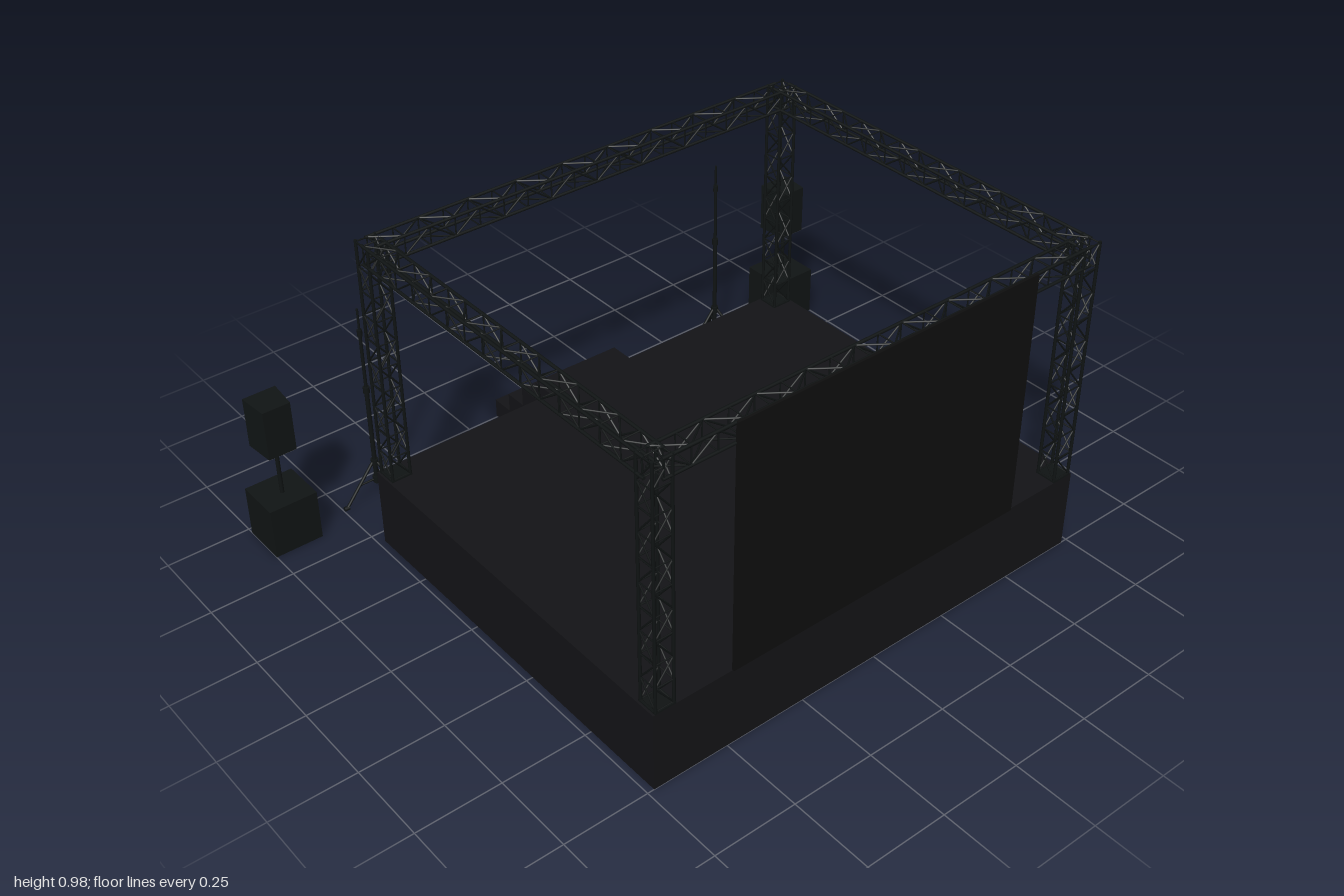
import * as THREE from 'three';
import { mergeGeometries } from 'three/addons/utils/BufferGeometryUtils.js';

const mat = (color) => new THREE.MeshStandardMaterial({ color });
const deckMat = mat(0x131316);
const metalMat = mat(0x0f1313);
const screenMat = mat(0x0e0e0e);
const speakerMat = mat(0x101414);
const V = (x, y, z) => new THREE.Vector3(x, y, z);

function add(parent, name, geo, material, x = 0, y = 0, z = 0) {
  const m = new THREE.Mesh(geo, material);
  m.name = name;
  m.position.set(x, y, z);
  parent.add(m);
  return m;
}

// box given by its limits
function block(parent, name, material, x0, x1, y0, y1, z0, z1) {
  return add(parent, name, new THREE.BoxGeometry(x1 - x0, y1 - y0, z1 - z0), material,
    (x0 + x1) / 2, (y0 + y1) / 2, (z0 + z1) / 2);
}

// round bar between two points
function bar(a, b, r, sides = 6) {
  const d = b.clone().sub(a);
  const g = new THREE.CylinderGeometry(r, r, d.length(), sides);
  g.applyQuaternion(new THREE.Quaternion().setFromUnitVectors(V(0, 1, 0), d.normalize()));
  const c = a.clone().add(b).multiplyScalar(0.5);
  return g.translate(c.x, c.y, c.z);
}

// square lattice truss along +y: four chords, rungs and zigzag braces
function trussGeometry(length, bays, crossed) {
  const h = 0.028, parts = [];
  const corners = [[-h, -h], [h, -h], [h, h], [-h, h]];
  const step = (length - 0.01) / bays;
  for (let f = 0; f < 4; f++) {
    const [ax, az] = corners[f], [bx, bz] = corners[(f + 1) % 4];
    parts.push(bar(V(ax, 0, az), V(ax, length, az), 0.0045, 8));
    for (let i = 0; i <= bays; i++) {
      const y = 0.005 + i * step;
      parts.push(bar(V(ax, y, az), V(bx, y, bz), 0.0022, 5));
      if (i === bays) break;
      // the winding of opposite faces already mirrors the zigzag
      const flip = (i + (crossed || f < 2 ? 0 : 1)) % 2;
      parts.push(bar(V(ax, y + (flip ? step : 0), az), V(bx, y + (flip ? 0 : step), bz), 0.0025, 5));
    }
  }
  return mergeGeometries(parts);
}

export function createModel() {
  const model = new THREE.Group();

  // Stage platform
  block(model, 'stagePlatform', deckMat, -0.73, 0.73, 0, 0.243, -0.46, 0.75);

  // Steps behind the platform
  const steps = new THREE.Group();
  steps.name = 'steps';
  model.add(steps);
  for (let i = 0; i < 4; i++) {
    const z1 = -0.46 - i * 0.074;
    block(steps, 'step', deckMat, -0.145, 0.145, 0, 0.243 - i * 0.061, z1 - 0.074, z1);
  }

  // Truss towers and roof beams
  const truss = new THREE.Group();
  truss.name = 'trussFrame';
  model.add(truss);
  const tx = 0.692, zFront = 0.718, zBack = -0.423, yBeam = 0.948;
  const tower = trussGeometry(0.737, 10, true);
  const crossBeam = trussGeometry(tx * 2, 18, false).rotateZ(-Math.PI / 2);
  const sideBeam = trussGeometry(zFront - zBack, 15, true).rotateX(Math.PI / 2);
  for (const z of [zFront, zBack]) {
    add(truss, 'crossBeam', crossBeam, metalMat, -tx, yBeam, z);
    for (const s of [-1, 1]) {
      add(truss, 'tower', tower, metalMat, s * tx, 0.243, z);
      block(truss, 'towerFoot', metalMat, s * tx - 0.032, s * tx + 0.032, 0.243, 0.248, z - 0.032, z + 0.032);
    }
  }
  for (const s of [-1, 1]) add(truss, 'sideBeam', sideBeam, metalMat, s * tx, yBeam, zBack);

  // Backdrop screen hung on the outer truss face
  block(model, 'screen', screenMat, -0.485, 0.485, 0.243, 0.98, 0.747, 0.755);

  // Speaker stacks facing the rear
  for (const s of [-1, 1]) {
    const stack = new THREE.Group();
    stack.name = s > 0 ? 'leftSpeakerStack' : 'rightSpeakerStack';
    stack.position.set(s * 0.927, 0, -0.66);
    model.add(stack);
    block(stack, 'subwoofer', speakerMat, -0.073, 0.073, 0, 0.157, -0.07, 0.07);
    block(stack, 'subwooferGrille', speakerMat, -0.066, 0.066, 0.008, 0.149, -0.075, -0.07);
    add(stack, 'pole', new THREE.CylinderGeometry(0.006, 0.006, 0.16, 12), metalMat, 0, 0.234, 0.008);
    // cabinet narrows slightly toward its back
    const cab = new THREE.Shape([[-0.05, -0.045], [0.05, -0.045], [0.042, 0.05], [-0.042, 0.05]]
      .map(([x, y]) => new THREE.Vector2(x, y)));
    const cabGeo = new THREE.ExtrudeGeometry(cab, { depth: 0.155, bevelEnabled: false });
    cabGeo.rotateX(Math.PI / 2); // shape y becomes z, depth runs down
    add(stack, 'topCabinet', cabGeo, speakerMat, 0, 0.465, 0);
    for (const [y, r] of [[0.36, 0.034], [0.43, 0.018]]) {
      const driver = add(stack, 'driver', new THREE.CylinderGeometry(r * 0.85, r, 0.008, 24), speakerMat, 0, y, -0.048);
      driver.rotation.x = -Math.PI / 2;
    }
  }

  // Tripod light stands, both turned the same way
  for (const s of [-1, 1]) {
    const stand = new THREE.Group();
    stand.name = s > 0 ? 'leftTripodStand' : 'rightTripodStand';
    stand.position.set(s * 0.635, 0, -0.647);
    model.add(stand);
    const tubes = [[0.05, 0.38, 0.0065], [0.38, 0.57, 0.0048], [0.57, 0.642, 0.0033]];
    for (const [y0, y1, r] of tubes) add(stand, 'poleSection', bar(V(0, y0, 0), V(0, y1, 0), r, 12), metalMat);
    for (const [y, r] of [[0.375, 0.0095], [0.565, 0.0075], [0.125, 0.011], [0.065, 0.011]]) {
      add(stand, 'collar', new THREE.CylinderGeometry(r, r, 0.02, 12), metalMat, 0, y, 0);
    }
    for (let i = 0; i < 3; i++) {
      const leg = new THREE.Group();
      leg.name = 'leg';
      leg.rotation.y = i * Math.PI * 2 / 3;
      stand.add(leg);
      add(leg, 'legTube', bar(V(-0.008, 0.125, 0), V(-0.102, 0.008, 0), 0.0045, 8), metalMat);
      add(leg, 'legStrut', bar(V(-0.008, 0.065, 0), V(-0.056, 0.065, 0), 0.003, 8), metalMat);
      add(leg, 'foot', bar(V(-0.098, 0.0065, 0), V(-0.113, 0.0065, 0), 0.0065, 8), metalMat);
    }
  }
  return model;
}
